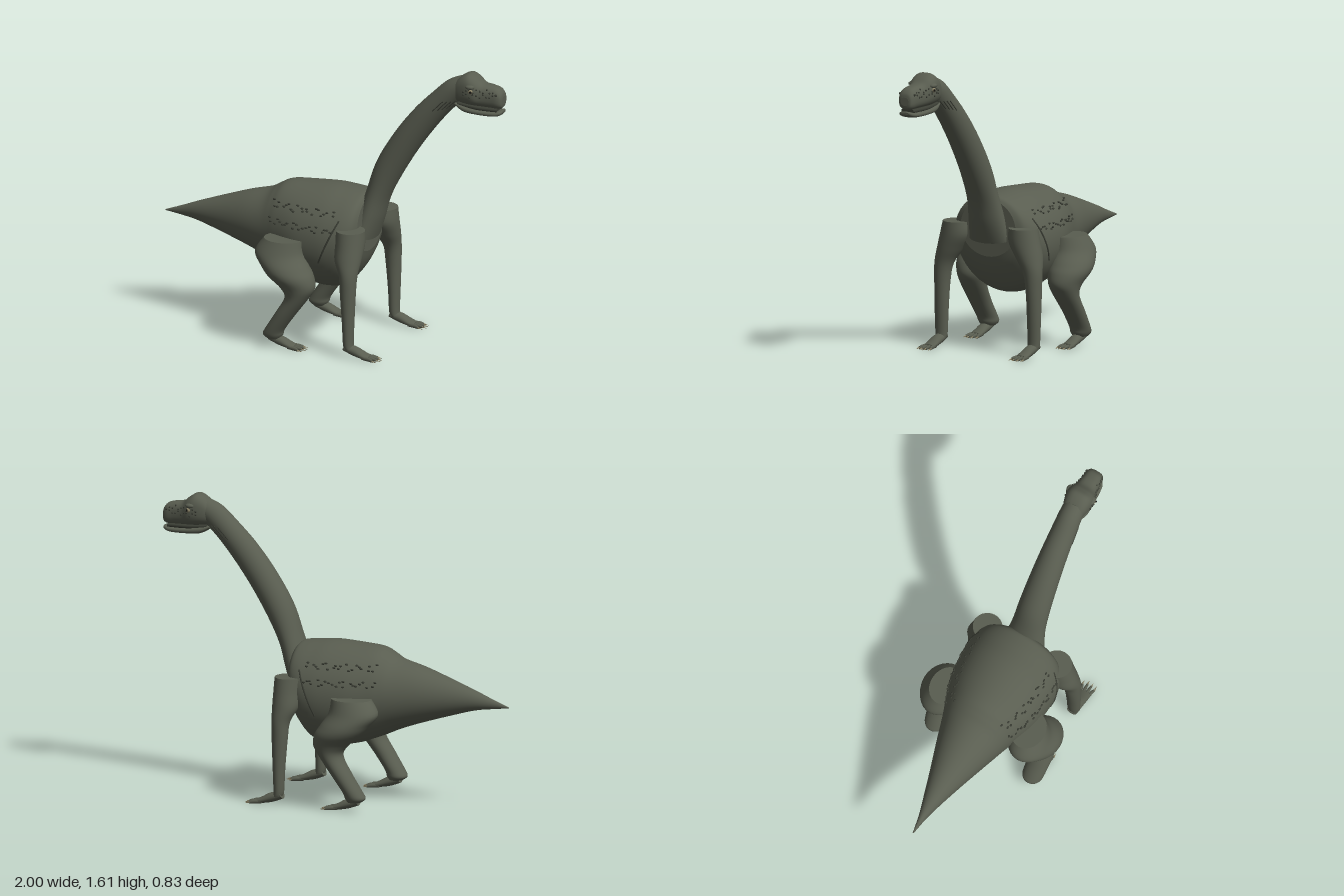
import * as THREE from 'three';
import { mergeGeometries } from 'three/addons/utils/BufferGeometryUtils.js';

const mat = (name, hex) => {
  const m = new THREE.MeshStandardMaterial({ color: hex });
  m.name = name;
  return m;
};
const DOWN = -Math.PI / 2;

// Catmull-Rom smoothing of cross-sections [x, y, z, ru, rv, angle]
function smooth(keys, steps = 6) {
  const out = [];
  const key = (i) => keys[Math.min(Math.max(i, 0), keys.length - 1)];
  for (let i = 0; i < keys.length - 1; i++) {
    for (let s = 0; s < steps; s++) {
      const t = s / steps;
      out.push(key(i).map((b, k) => {
        const a = key(i - 1)[k], c = key(i + 1)[k], d = key(i + 2)[k];
        const v = b + 0.5 * t * (c - a + t * (2 * a - 5 * b + 4 * c - d + t * (3 * (b - c) + d - a)));
        return k === 3 || k === 4 ? Math.max(v, 0.001) : v;
      }));
    }
  }
  out.push(keys[keys.length - 1]);
  return out;
}

// Point on a section ring; the section faces along `angle` in the xy plane
function ringPoint([x, y, z, ru, rv, a], th, p = 2) {
  const pw = (v) => Math.sign(v) * Math.pow(Math.abs(v), 2 / p);
  const u = ru * pw(Math.cos(th)), v = rv * pw(Math.sin(th));
  return new THREE.Vector3(x - Math.sin(a) * u, y + Math.cos(a) * u, z + v);
}

// Closed skin over a row of sections, with flat end caps
function loft(rows, p = 2, n = 32) {
  const pos = [], idx = [];
  const addRing = (r) => {
    const start = pos.length / 3;
    for (let j = 0; j < n; j++) pos.push(...ringPoint(r, (j / n) * Math.PI * 2, p).toArray());
    return start;
  };
  rows.forEach(addRing);
  for (let i = 0; i < rows.length - 1; i++) {
    for (let j = 0; j < n; j++) {
      const a = i * n + j, b = i * n + (j + 1) % n;
      idx.push(a, b, a + n, b, b + n, a + n);
    }
  }
  [rows[0], rows[rows.length - 1]].forEach((r, end) => {
    const s = addRing(r), c = pos.length / 3;
    pos.push(r[0], r[1], r[2]);
    for (let j = 0; j < n; j++) {
      const a = s + j, b = s + (j + 1) % n;
      if (end) idx.push(c, a, b); else idx.push(c, b, a);
    }
  });
  const g = new THREE.BufferGeometry();
  g.setAttribute('position', new THREE.Float32BufferAttribute(pos, 3));
  g.setIndex(idx);
  g.computeVertexNormals();
  return g;
}

// Point on the side of a level skin at a given x and y
function sidePoint(rows, x, y, side, p = 2) {
  const r = rows.find((q) => q[0] >= x) || rows[rows.length - 1];
  const d = Math.min(Math.abs((y - r[1]) / r[3]), 0.98);
  return new THREE.Vector3(x, y, side * r[4] * Math.pow(1 - Math.pow(d, p), 1 / p));
}

const bump = (v, r, sx = 1, sy = 1, sz = 1) =>
  new THREE.SphereGeometry(r, 8, 6).scale(sx, sy, sz).translate(v.x, v.y, v.z);
const crease = (pts, r) => new THREE.TubeGeometry(new THREE.CatmullRomCurve3(pts), 12, r, 6);

export function createModel() {
  const skin = mat('olive grey skin', 0x595d50);
  const dark = mat('dark scales', 0x3a3d34);
  const horn = mat('pale claw', 0x8c8468);
  const black = mat('black pupil', 0x121210);
  const model = new THREE.Group();
  model.name = 'longNeckedDinosaur';
  const add = (name, geo, m, parent = model) => {
    const mesh = new THREE.Mesh(geo, m);
    mesh.name = name;
    parent.add(mesh);
  };

  // Body and tail: [x, top, bottom, half width]
  const body = smooth([
    [-1, 0.579, 0.573, 0.003], [-0.9, 0.617, 0.561, 0.022], [-0.8, 0.657, 0.545, 0.05],
    [-0.65, 0.712, 0.502, 0.095], [-0.5, 0.763, 0.455, 0.143], [-0.38, 0.795, 0.412, 0.18],
    [-0.32, 0.828, 0.385, 0.2], [-0.26, 0.855, 0.36, 0.222], [-0.14, 0.865, 0.318, 0.262],
    [0, 0.872, 0.3, 0.28], [0.09, 0.866, 0.325, 0.276], [0.15, 0.86, 0.39, 0.258],
    [0.19, 0.853, 0.46, 0.225], [0.21, 0.835, 0.52, 0.18],
  ].map(([x, t, b, w]) => [x, (t + b) / 2, 0, (t - b) / 2, w, 0]));
  add('bodyAndTail', loft(body, 2, 48), skin);

  // Neck
  const neck = smooth([
    [0.19, 0.62, 0, 0.06, 0.13, 1.2], [0.222, 0.73, 0, 0.066, 0.112, 1.2],
    [0.262, 0.86, 0, 0.066, 0.095, 1.17], [0.325, 1.01, 0, 0.078, 0.088, 1.08],
    [0.425, 1.175, 0, 0.079, 0.081, 0.98], [0.53, 1.315, 0, 0.076, 0.074, 0.88],
    [0.63, 1.425, 0, 0.07, 0.068, 0.78], [0.71, 1.5, 0, 0.068, 0.064, 0.68],
    [0.77, 1.535, 0, 0.06, 0.06, 0.5],
  ]);
  add('neck', loft(neck), skin);

  // Head
  const head = new THREE.Group();
  head.name = 'head';
  model.add(head);
  const skull = smooth([
    [0.7, 1.535, 1.46, 0.045], [0.75, 1.59, 1.445, 0.066], [0.8, 1.615, 1.438, 0.077],
    [0.84, 1.598, 1.437, 0.076], [0.88, 1.568, 1.436, 0.062], [0.93, 1.56, 1.435, 0.054],
    [0.97, 1.55, 1.434, 0.05], [0.992, 1.528, 1.442, 0.04], [0.998, 1.505, 1.46, 0.025],
  ].map(([x, t, b, w]) => [x, (t + b) / 2, 0, (t - b) / 2, w, 0]));
  add('skull', loft(skull, 2.6), skin, head);
  add('lowerJaw', loft(smooth([
    [0.725, 1.437, 0, 0.01, 0.045, 0], [0.78, 1.417, 0, 0.02, 0.06, 0],
    [0.86, 1.408, 0, 0.018, 0.06, 0], [0.95, 1.407, 0, 0.016, 0.054, 0],
    [0.985, 1.413, 0, 0.013, 0.042, 0], [0.996, 1.418, 0, 0.006, 0.025, 0],
  ]), 2.6), skin, head);
  add('mouthLining', loft(smooth([
    [0.74, 1.438, 0, 0.014, 0.045, 0], [0.85, 1.43, 0, 0.014, 0.05, 0],
    [0.97, 1.428, 0, 0.012, 0.04, 0],
  ]), 3), dark, head);

  const scales = [], headScales = [], folds = [];
  for (const side of [1, -1]) {
    // Brow, eye and nostril
    add('brow', bump(new THREE.Vector3(0.825, 1.553, side * 0.068), 0.022, 1.3, 0.6, 0.9), skin, head);
    add('eye', bump(new THREE.Vector3(0.832, 1.53, side * 0.075), 0.013), horn, head);
    add('pupil', bump(new THREE.Vector3(0.836, 1.53, side * 0.084), 0.007), black, head);
    headScales.push(bump(sidePoint(skull, 0.97, 1.52, side, 2.6), 0.007));
    // Cheek scales
    for (let i = 0; i < 20; i++) {
      const x = 0.79 + (i % 10) * 0.018, row = Math.floor(i / 10);
      const y = 1.507 + row * 0.026 + 0.01 * Math.sin(i * 2.3);
      headScales.push(bump(sidePoint(skull, x, y, side, 2.6), 0.0055));
    }
    // Two double rows of flank scales
    for (let i = 0; i < 44; i++) {
      const row = i % 4, x = -0.29 + Math.floor(i / 4) * 0.037 + 0.012 * Math.sin(i * 4.1);
      const y = [0.675, 0.693, 0.758, 0.777][row] + 0.006 * Math.sin(i * 2.7);
      scales.push(bump(sidePoint(body, x, y, side), 0.007, 1.3, 0.8, 0.8));
    }
    // Shoulder crease and throat folds
    folds.push(crease([0, 0.25, 0.5, 0.75, 1].map((t) =>
      sidePoint(body, 0.02 + 0.105 * t, 0.5 + 0.24 * t, side)), 0.005));
    for (let k = 0; k < 4; k++) {
      folds.push(crease([0, 1, 2, 3, 4].map((s) =>
        ringPoint(neck[34 + k + s], side * (1.7 + 0.22 * k))), 0.003));
    }
  }
  add('flankScales', mergeGeometries(scales), dark);
  add('cheekScales', mergeGeometries(headScales), dark, head);
  add('skinFolds', mergeGeometries(folds), dark);

  // Foot with four clawed toes, ankle at (x, z)
  const foot = (parent, x, z) => {
    add('foot', loft(smooth([
      [x - 0.03, 0.06, z, 0.022, 0.03, -0.4], [x + 0.03, 0.042, z, 0.026, 0.033, -0.3],
      [x + 0.08, 0.025, z, 0.018, 0.036, -0.2], [x + 0.115, 0.017, z, 0.012, 0.034, 0],
    ]), 2, 16), skin, parent);
    for (let i = 0; i < 4; i++) {
      const k = i - 1.5, len = 0.165 - 0.012 * Math.abs(k);
      add('toe', loft(smooth([
        [x + 0.08, 0.018, z + k * 0.016, 0.011, 0.01, 0],
        [x + 0.125, 0.015, z + k * 0.02, 0.011, 0.009, 0],
        [x + len, 0.011, z + k * 0.024, 0.007, 0.006, 0],
      ], 3), 2, 10), skin, parent);
      const claw = new THREE.ConeGeometry(0.0055, 0.03, 8).rotateZ(DOWN - 0.15);
      add('claw', claw.translate(x + len + 0.012, 0.009, z + k * 0.025), horn, parent);
    }
  };

  // Legs: [x, y, z, half depth, half width], flat at the top
  const leg = (name, keys, side, footX, footZ) => {
    const g = new THREE.Group();
    g.name = name;
    model.add(g);
    add(name + 'Limb', loft(smooth(
      keys.map(([x, y, z, a, b]) => [x, y, side * z, a, b, DOWN])), 2, 28), skin, g);
    foot(g, footX, side * footZ);
  };
  for (const side of [1, -1]) {
    leg('frontLeg', [
      [0.188, 0.695, 0.216, 0.079, 0.081], [0.19, 0.62, 0.225, 0.079, 0.09],
      [0.192, 0.54, 0.258, 0.073, 0.076], [0.207, 0.46, 0.29, 0.05, 0.055],
      [0.21, 0.36, 0.3, 0.043, 0.045], [0.213, 0.2, 0.303, 0.033, 0.04],
      [0.214, 0.08, 0.303, 0.028, 0.036], [0.222, 0.05, 0.303, 0.026, 0.032],
    ], side, 0.225, 0.303);
    leg('hindLeg', [
      [-0.188, 0.61, 0.255, 0.112, 0.09], [-0.206, 0.535, 0.27, 0.138, 0.11],
      [-0.165, 0.47, 0.29, 0.135, 0.12], [-0.128, 0.42, 0.3, 0.128, 0.113],
      [-0.088, 0.36, 0.3, 0.098, 0.09], [-0.09, 0.3, 0.303, 0.066, 0.075],
      [-0.155, 0.2, 0.308, 0.057, 0.065], [-0.215, 0.11, 0.305, 0.054, 0.06],
      [-0.23, 0.075, 0.302, 0.056, 0.056], [-0.225, 0.055, 0.302, 0.038, 0.042],
    ], side, -0.215, 0.302);
  }
  return model;
}
